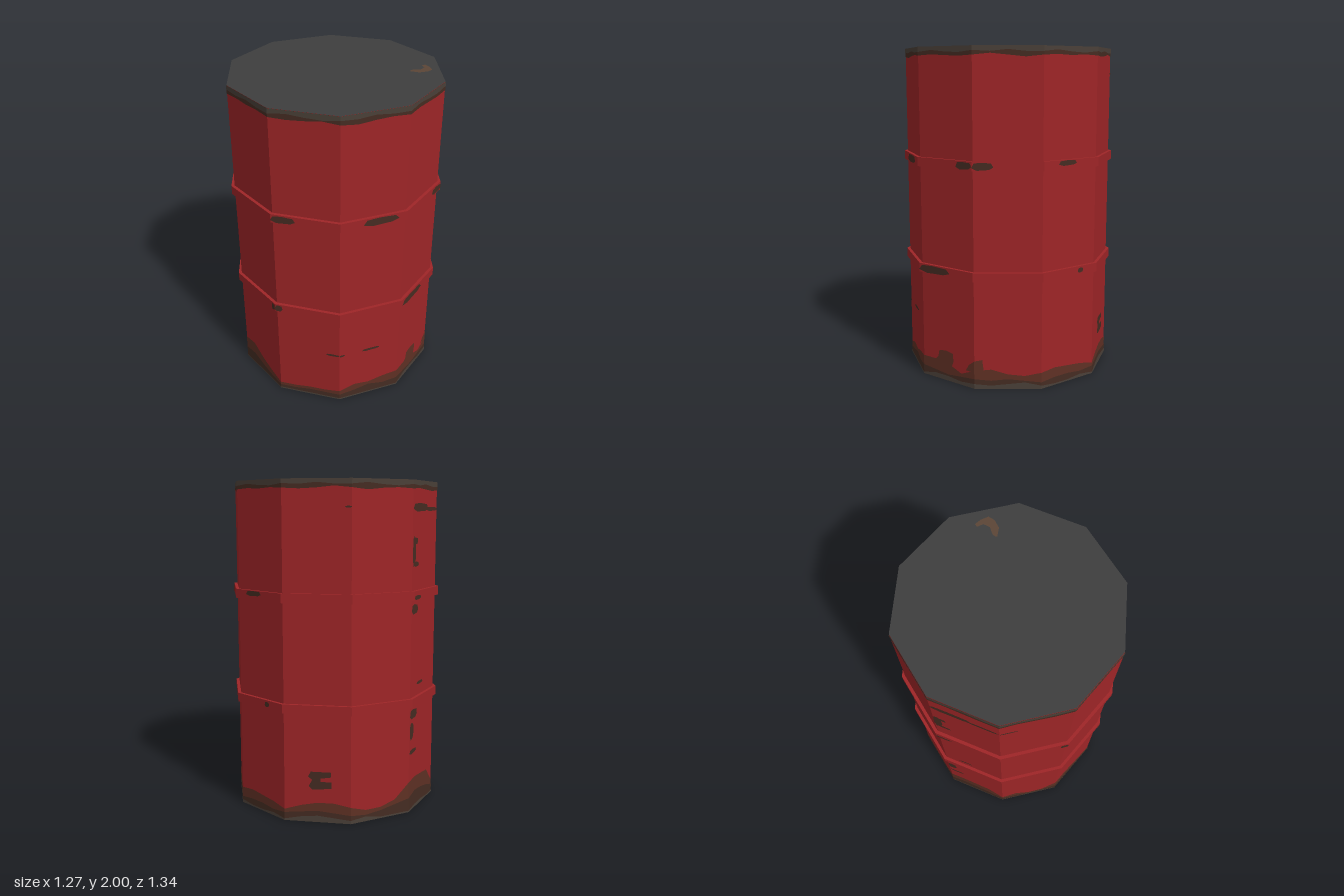
import * as THREE from 'three';

const SIDES = 10, STEP = (Math.PI * 2) / SIDES;
const R = 0.645, RING_R = 0.665;

const mat = (name, color) => {
  const m = new THREE.MeshStandardMaterial({ color, flatShading: true });
  m.name = name;
  return m;
};

export function createModel() {
  const red = mat('red paint', 0x9e2527);
  const lid = mat('dark lid', 0x3e3e3e);
  const rust = mat('brown rust', 0x5f3024);
  const dark = mat('dark rust', 0x452c22);
  const worn = mat('worn metal', 0x4a4038);
  const stain = mat('lid stain', 0x5c4637);

  const group = new THREE.Group();
  group.name = 'barrel';
  const add = (name, geometry, material) => {
    const m = new THREE.Mesh(geometry, material);
    m.name = name;
    group.add(m);
    return m;
  };

  // Ten-sided body with dark end caps
  const body = add('body', new THREE.CylinderGeometry(R, R, 2, SIDES), [red, lid, lid]);
  body.position.y = 1;

  // Two raised hoops
  for (const y of [0.687, 1.333]) {
    add('hoop', new THREE.CylinderGeometry(RING_R, RING_R, 0.055, SIDES), red).position.y = y;
  }

  // Thin plate on one side of the barrel: t runs 0..1 across the side, y is height
  const plate = (name, face, points, material, radius = R, lift = 0.002) => {
    const apothem = radius * Math.cos(STEP / 2) + lift;
    const width = 2 * apothem * Math.tan(STEP / 2);
    const shape = new THREE.Shape(points.map(([t, y]) => new THREE.Vector2((t - 0.5) * width, y)));
    const g = new THREE.ShapeGeometry(shape);
    g.translate(0, 0, apothem);
    g.rotateY((face + 0.5) * STEP);
    return add(name, g, material);
  };

  // Ragged band round the barrel, four edge heights per side
  const band = (name, base, heights, material, lift) => {
    for (let f = 0; f < SIDES; f++) {
      const pts = [[0, base], [1, base]];
      for (let k = 4; k >= 0; k--) pts.push([k / 4, heights[(f * 4 + k) % heights.length]]);
      plate(name, f, pts, material, R, lift);
    }
  };
  band('bottomRust', 0, [
    .12, .12, .11, .07, .11, .12, .09, .08, .10, .11, .10, .09, .07, .10, .12, .12, .10, .07, .07, .10,
    .19, .20, .19, .18, .08, .12, .05, .06, .17, .18, .12, .08, .05, .05, .06, .06, .07, .10, .09, .11,
  ], rust, 0.002);
  band('bottomDarkRust', 0, [
    .06, .05, .04, .05, .06, .05, .06, .05, .04, .05, .05, .04, .05, .06, .07, .06, .05, .04, .05, .07,
    .09, .11, .10, .08, .05, .06, .03, .04, .08, .09, .06, .04, .03, .03, .04, .04, .04, .05, .07, .05,
  ], dark, 0.003);
  band('bottomBareMetal', 0, [
    .01, .03, .03, .02, .03, .02, .03, .04, .02, .01, .01, .02, .01, .03, .04, .03, .02, .03, .01, .01,
    .01, .02, .02, .01, .01, .01, .02, .02, .01, .01, .01, .01, .01, .01, .01, .01, .01, .01, .01, .01,
  ], worn, 0.004);
  // Heights are the lower edge here, so the plates are built from the rim down
  const rimBand = (name, drops, material, lift) => {
    for (let f = 0; f < SIDES; f++) {
      const pts = [[1, 2], [0, 2]];
      for (let k = 0; k <= 4; k++) pts.push([k / 4, 2 - drops[(f * 4 + k) % drops.length]]);
      plate(name, f, pts, material, R, lift);
    }
  };
  rimBand('rimDarkRust', [.05, .045, .05, .055, .05, .04, .05, .06, .05, .045], dark, 0.002);
  rimBand('rimBareMetal', [.03, .02, .03, .035, .025, .03, .02, .03], worn, 0.003);

  // Slightly irregular chip between two points on a side
  const chip = (face, t0, t1, y0, y1, material = dark, radius = R) => {
    const w = t1 - t0, h = y1 - y0;
    plate('rustChip', face, [
      [t0, y0 + h * 0.3], [t0 + w * 0.25, y0], [t0 + w * 0.8, y0 + h * 0.1], [t1, y0 + h * 0.4],
      [t1 - w * 0.1, y1 - h * 0.1], [t0 + w * 0.45, y1], [t0 + w * 0.1, y1 - h * 0.1],
    ], material, radius, 0.0035);
  };

  // Chips on the hoops: side, start, end, bottom, top
  for (const [f, a, b, y0, y1] of [
    [8, 0, .36, 1.309, 1.355], [9, .34, .87, 1.309, 1.357], [0, .72, 1, 1.311, 1.355],
    [1, 0, .3, 1.309, 1.355], [2, .25, .58, 1.327, 1.358], [6, .88, 1, 1.309, 1.355],
    [5, 0, .25, 1.308, 1.335], [0, 0, .58, 0.662, 0.71], [2, .63, .73, 0.675, 0.705],
    [7, .92, 1, 0.664, 0.71], [8, 0, .12, 0.664, 0.71],
  ]) chip(f, a, b, y0, y1, dark, RING_R);

  // Scratches and chips on the body
  for (const [f, a, b, y0, y1] of [
    [8, .78, 1, .362, .378], [9, 0, .09, .362, .376], [9, .37, .68, .362, .38],
    [5, 0, .6, 1.82, 1.87], [5, .5, 1, 1.825, 1.85], [6, 0, .25, 1.825, 1.84],
    [5, 0, .13, 1.5, 1.68], [5, .05, .25, 1.5, 1.53], [5, .05, .2, 1.63, 1.67],
    [5, 0, .25, 1.22, 1.28], [5, .25, .5, .78, .8], [5, 0, .28, .58, .64],
    [5, 0, .15, .45, .56], [5, 0, .27, .36, .39], [3, .9, 1, 1.84, 1.85],
  ]) chip(f, a, b, y0, y1);

  // Hooked chip low on the back left side
  plate('hookedChip', 3, [
    [.37, .22], [.42, .2], [.71, .21], [.71, .25], [.55, .25], [.55, .27],
    [.7, .28], [.7, .31], [.4, .31], [.36, .28], [.42, .26],
  ], dark);

  // Rust bloom rising from the base at the front
  plate('rustBloom', 0, [
    [.2, .1], [.55, .08], [.6, .13], [.59, .18], [.45, .19], [.32, .18], [.3, .14],
  ], rust, R, 0.0025);
  plate('rustBloom', 0, [[.84, .1], [1, .1], [1, .17], [.9, .14]], rust, R, 0.0025);
  plate('rustBloom', 1, [[0, .08], [.15, .08], [.12, .18], [0, .17]], rust, R, 0.0025);

  // Stain on the lid
  const spot = new THREE.ShapeGeometry(new THREE.Shape([
    [.33, -.28], [.36, -.33], [.41, -.35], [.45, -.345], [.47, -.3], [.475, -.26],
    [.455, -.255], [.44, -.29], [.40, -.3], [.36, -.275], [.34, -.275],
  ].map(([x, y]) => new THREE.Vector2(x, y))));
  spot.rotateX(-Math.PI / 2);
  add('lidStain', spot, stain).position.y = 2.001;

  return group;
}
